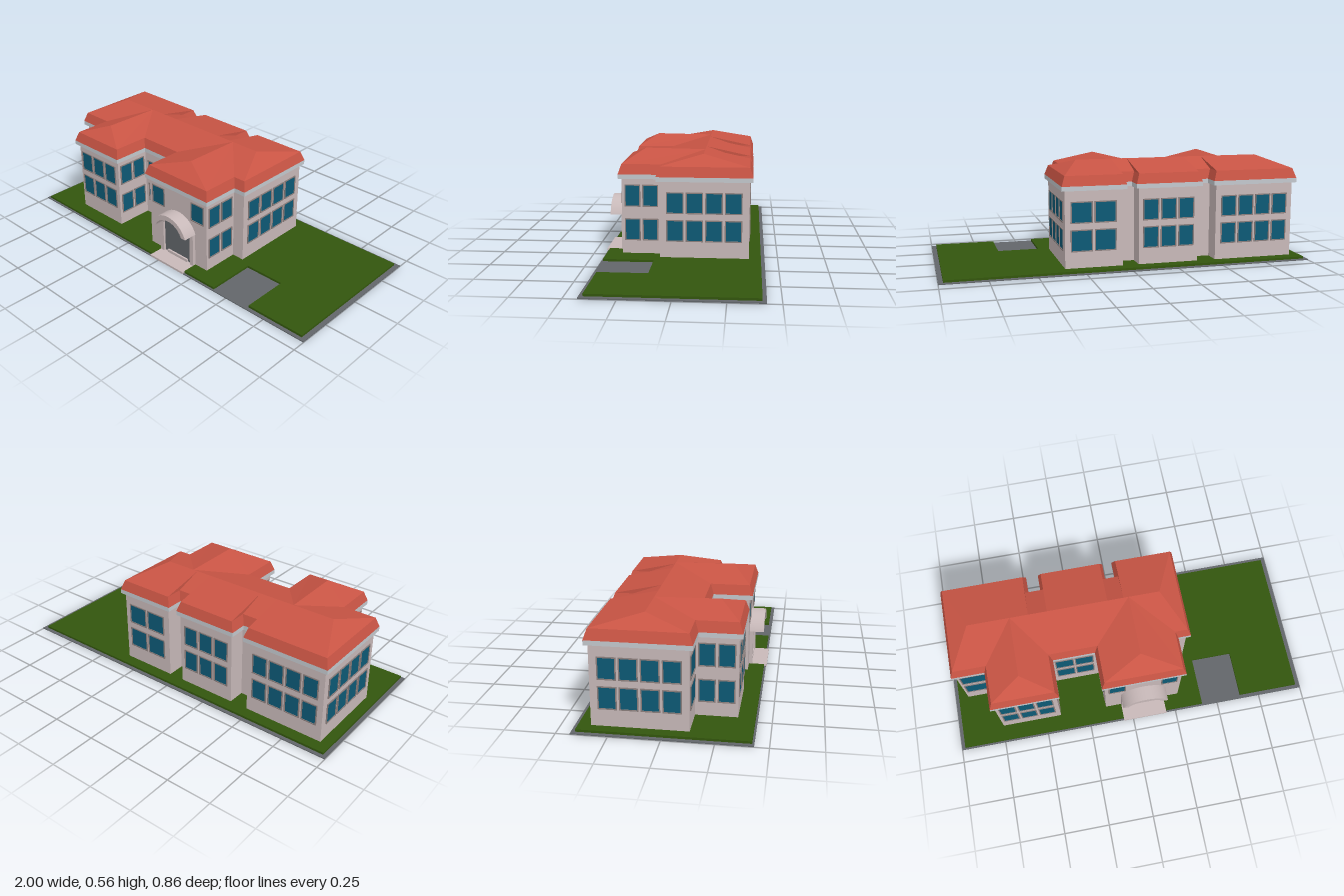
import * as THREE from 'three';

const mat = (name, color, side = THREE.FrontSide) => {
  const m = new THREE.MeshStandardMaterial({ color, side });
  m.name = name;
  return m;
};

// Footprint corners [x, z], counterclockwise from above, each with the ridge point [x, z] above it
const CORNERS = [
  [-0.925, 0.125, -0.81, -0.1], [-0.745, 0.125, -0.58, -0.1],
  [-0.745, 0.335, -0.58, 0.23], [-0.41, 0.335, -0.58, 0.23],
  [-0.41, 0.125, -0.58, -0.1], [-0.145, 0.125, 0.068, -0.1],
  [-0.145, 0.335, 0.068, 0.23], [0.28, 0.335, 0.068, 0.23],
  [0.28, 0.125, 0.068, -0.1], [0.35, 0.125, 0.238, -0.1],
  [0.35, -0.347, 0.238, -0.1], [0.04, -0.347, 0.04, -0.1],
  [0.04, -0.252, 0.04, -0.1], [-0.048, -0.252, -0.048, -0.1],
  [-0.048, -0.347, -0.048, -0.1], [-0.378, -0.347, -0.378, -0.1],
  [-0.378, -0.252, -0.378, -0.1], [-0.48, -0.252, -0.48, -0.1],
  [-0.48, -0.347, -0.48, -0.1], [-0.925, -0.347, -0.81, -0.1],
];
const N = CORNERS.length;

// Ring of points at height y, the footprint pushed outward by d
function ring(d, y) {
  return CORNERS.map(([x, z], i) => {
    const p = CORNERS[(i + N - 1) % N], n = CORNERS[(i + 1) % N];
    const ox = -Math.sign(z - p[1]) - Math.sign(n[1] - z);
    const oz = Math.sign(x - p[0]) + Math.sign(n[0] - x);
    return new THREE.Vector3(x + ox * d, y, z + oz * d);
  });
}

// Flat-faced skin between consecutive rings
function skin(rings) {
  const pts = [];
  const tri = (a, b, c) => {
    if (!a.equals(b) && !b.equals(c) && !a.equals(c)) pts.push(a, b, c);
  };
  for (let r = 0; r < rings.length - 1; r++) {
    const a = rings[r], b = rings[r + 1];
    for (let i = 0; i < N; i++) {
      const j = (i + 1) % N;
      tri(a[i], a[j], b[j]);
      tri(a[i], b[j], b[i]);
    }
  }
  const g = new THREE.BufferGeometry().setFromPoints(pts);
  g.computeVertexNormals();
  return g;
}

export function createModel() {
  const model = new THREE.Group();
  model.name = 'building';
  const M = {
    wall: mat('wall plaster', 0xc8b9b9),
    roof: mat('roof tile', 0xc85444, THREE.DoubleSide),
    trim: mat('eave trim', 0xc4c9ce),
    grass: mat('lawn green', 0x33560d),
    paving: mat('paving grey', 0x62666a),
    glass: mat('window glass', 0x0d5a76),
    frame: mat('window frame', 0x8c7f7d),
  };
  const add = (name, geo, material, parent = model) => {
    const m = new THREE.Mesh(geo, material);
    m.name = name;
    parent.add(m);
    return m;
  };
  const block = (name, material, x0, x1, y0, y1, z0, z1) =>
    add(name, new THREE.BoxGeometry(x1 - x0, y1 - y0, z1 - z0), material)
      .position.set((x0 + x1) / 2, (y0 + y1) / 2, (z0 + z1) / 2);
  const polygon = (pts) => new THREE.Shape(pts.map(([x, y]) => new THREE.Vector2(x, y)));
  const extrude = (shape, depth) =>
    new THREE.ExtrudeGeometry(shape, { depth, bevelEnabled: false, curveSegments: 20 });

  // Ground: paving rim and a lawn notched for the drive and the entrance
  block('paving', M.paving, -1, 1, 0.001, 0.006, -0.43, 0.43);
  const lawn = extrude(polygon([
    [-0.98, -0.42], [-0.055, -0.42], [-0.055, -0.335], [0.195, -0.335], [0.195, -0.42],
    [0.41, -0.42], [0.41, -0.15], [0.64, -0.15], [0.64, -0.41], [0.975, -0.41],
    [0.975, 0.41], [-0.98, 0.41],
  ]), 0.018);
  add('lawn', lawn.rotateX(-Math.PI / 2), M.grass);

  // Walls, eaves and roof all follow the footprint
  add('walls', skin([ring(0, 0.01), ring(0, 0.43)]), M.wall);
  add('eaves', skin([ring(0, 0.428), ring(0.018, 0.428), ring(0.018, 0.452)]), M.trim);
  const ridge = CORNERS.map(([, , x, z]) => new THREE.Vector3(x, z > 0 ? 0.563 : 0.558, z));
  add('roof', skin([ring(0.018, 0.452), ring(0, 0.505), ridge]), M.roof);

  // Windows: side is the facing direction, at is the wall plane
  const TURN = { front: 0, right: Math.PI / 2, back: Math.PI, left: -Math.PI / 2 };
  function windows(name, side, at, spans, rows) {
    const group = new THREE.Group();
    group.name = name;
    model.add(group);
    for (const [a, b] of spans) for (const [y0, y1] of rows) {
      const w = Math.abs(b - a), h = y1 - y0, t = 0.006;
      const pane = new THREE.Group();
      pane.name = 'window';
      const rect = (u, v) => [[-u, -v], [u, -v], [u, v], [-u, v]];
      const outer = polygon(rect(w / 2, h / 2));
      outer.holes.push(polygon(rect(w / 2 - t, h / 2 - t)));
      add('frame', extrude(outer, 0.005), M.frame, pane);
      add('glass', new THREE.BoxGeometry(w - 2 * t, h - 2 * t, 0.004), M.glass, pane);
      const c = (a + b) / 2, y = (y0 + y1) / 2;
      if (side === 'front' || side === 'back') pane.position.set(c, y, at);
      else pane.position.set(at, y, c);
      pane.rotation.y = TURN[side];
      group.add(pane);
    }
  }
  // Evenly spaced spans from a to b
  const spread = (a, b, n, gap = 0.011) => {
    const w = (b - a - gap * (n - 1)) / n;
    return Array.from({ length: n }, (_, i) => [a + i * (w + gap), a + i * (w + gap) + w]);
  };
  const frontRows = [[0.118, 0.238], [0.27, 0.388]];
  const mainRows = [[0.105, 0.222], [0.255, 0.37]];
  const wingRows = [[0.09, 0.21], [0.275, 0.395]];
  windows('frontEndWindow', 'front', 0.125, [[-0.912, -0.76]], frontRows);
  windows('leftWingWindows', 'front', 0.335, spread(-0.728, -0.433, 3), frontRows);
  windows('recessWindows', 'front', 0.125, spread(-0.387, -0.172, 2, 0.006), mainRows);
  windows('entranceWindows', 'front', 0.335, [[-0.125, -0.03], [0.168, 0.26]], [[0.288, 0.4]]);
  for (const [side, x] of [['right', 0.35], ['left', -0.925]])
    windows(side + 'SideWindows', side, x, spread(-0.31, 0.09, 4), mainRows);
  for (const [side, x] of [['left', -0.745], ['right', -0.41], ['left', -0.145], ['right', 0.28]])
    windows('wingSideWindows', side, x, spread(0.14, 0.32, 2), wingRows);
  windows('backWindowsA', 'back', -0.347, spread(-0.895, -0.51, 4), mainRows);
  windows('backWindowsB', 'back', -0.347, spread(-0.355, -0.07, 3), mainRows);
  windows('backWindowsC', 'back', -0.347, spread(0.075, 0.32, 2), mainRows);

  // Entrance: landing, door, arched surround and projecting hood
  const cx = 0.07;
  const arched = (T, half, bottom, spring, top) => {
    const rise = top - spring, r = (half * half + rise * rise) / (2 * rise);
    const a = Math.asin((top - r < spring ? spring - top + r : 0) / r);
    const s = new T();
    s.moveTo(-half, bottom);
    s.lineTo(half, bottom);
    s.lineTo(half, spring);
    s.absarc(0, top - r, r, a, Math.PI - a, false);
    s.closePath();
    return s;
  };
  block('landing', M.wall, -0.055, 0.195, 0.004, 0.016, 0.33, 0.434);
  block('doorStep', M.wall, -0.005, 0.145, 0.014, 0.032, 0.335, 0.35);
  add('door', extrude(arched(THREE.Shape, 0.102, 0.014, 0.2, 0.247), 0.006), M.paving)
    .position.set(cx, 0, 0.334);
  const surround = arched(THREE.Shape, 0.125, 0.012, 0.21, 0.29);
  surround.holes.push(arched(THREE.Path, 0.1, 0.016, 0.2, 0.245));
  add('doorSurround', extrude(surround, 0.019), M.wall).position.set(cx, 0, 0.334);
  const hood = new THREE.Shape();
  const R = 0.1346, r = 0.107, cy = 0.166, aOut = Math.asin(0.044 / R), aIn = Math.asin(0.044 / r);
  hood.absarc(0, cy, R, aOut, Math.PI - aOut, false);
  hood.absarc(0, cy, r, Math.PI - aIn, aIn, true);
  hood.closePath();
  add('doorHood', extrude(hood, 0.08), M.wall).position.set(cx, 0, 0.333);

  return model;
}
